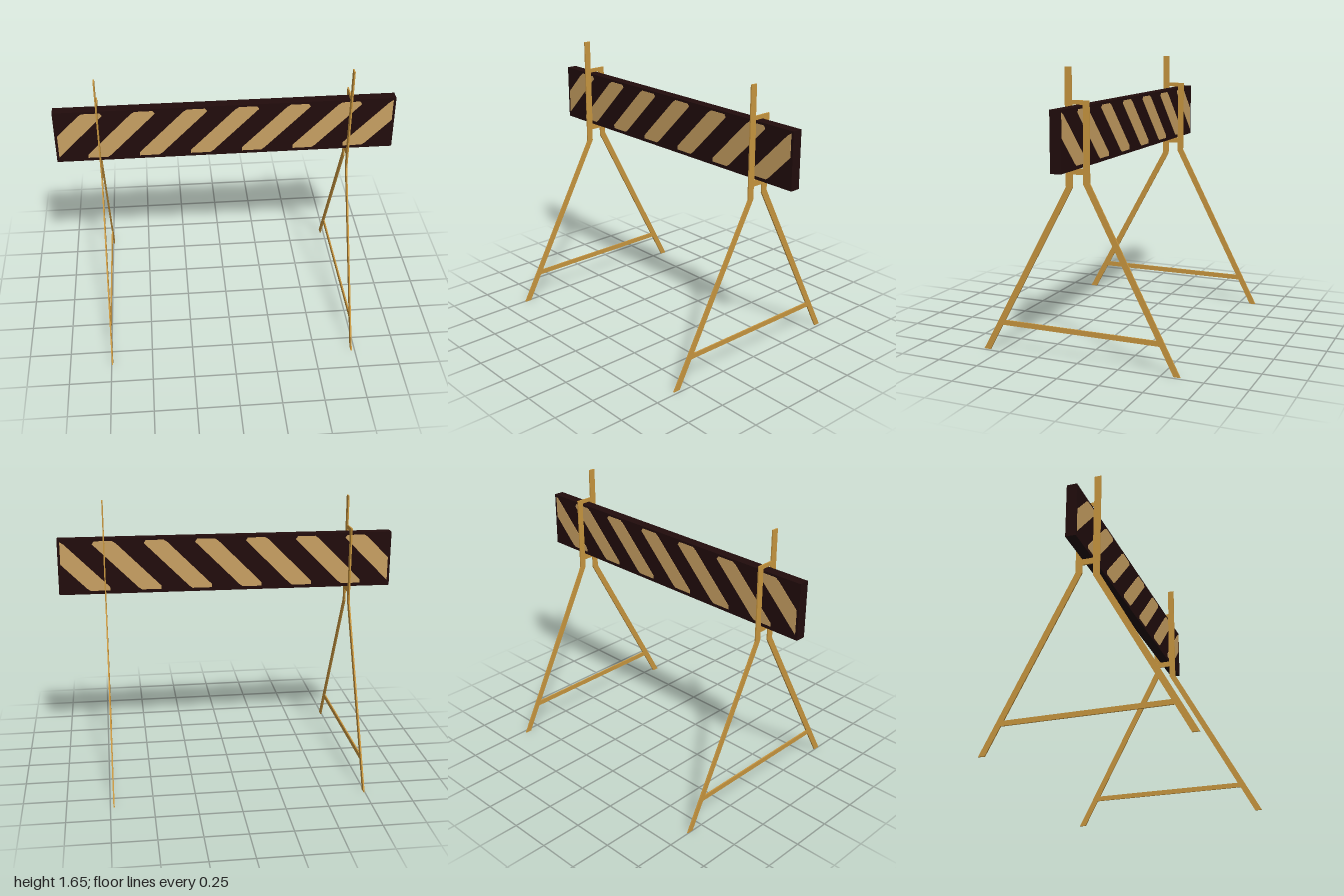
import * as THREE from 'three';

const wood = new THREE.MeshStandardMaterial({ color: 0xc8963f });
wood.name = 'ochre frame';
const dark = new THREE.MeshStandardMaterial({ color: 0x210c0c });
dark.name = 'dark board';
const tan = new THREE.MeshStandardMaterial({ color: 0xc8a062 });
tan.name = 'tan stripe';

const points = (list) => list.map(([a, b]) => new THREE.Vector2(a, b));

// Flat A-frame trestle, drawn in (z, y) and extruded thinly along x
function frameGeometry(thickness) {
  const shape = new THREE.Shape(points([
    [0.613, 0], [0.066, 1.0], [0.066, 1.655], [0.026, 1.655], [0.026, 1.477], [-0.079, 1.477],
    [-0.079, 1.028], [-0.61, 0], [-0.571, 0], [-0.488, 0.16], [0.484, 0.16], [0.571, 0],
  ]));
  // Opening between the legs, then the slot holding the board
  shape.holes.push(new THREE.Path(points([
    [0.467, 0.19], [0.026, 0.998], [0.026, 1.072], [-0.04, 1.072], [-0.04, 1.02], [-0.472, 0.19],
  ])));
  shape.holes.push(new THREE.Path(points([
    [0.024, 1.108], [0.024, 1.453], [-0.04, 1.453], [-0.04, 1.108],
  ])));
  const geometry = new THREE.ExtrudeGeometry(shape, { depth: thickness, bevelEnabled: false });
  geometry.translate(0, 0, -thickness / 2);
  return geometry.rotateY(-Math.PI / 2);
}

// Cut a convex outline off where sign * x exceeds the limit
function clip(outline, sign, limit) {
  const result = [];
  outline.forEach(([ax, ay], i) => {
    const [bx, by] = outline[(i + 1) % outline.length];
    const da = limit - sign * ax;
    const db = limit - sign * bx;
    if (da >= 0) result.push([ax, ay]);
    if (da * db < 0) {
      const t = da / (da - db);
      result.push([ax + (bx - ax) * t, ay + (by - ay) * t]);
    }
  });
  return result;
}

// Slanted stripe with slightly clipped corners, y measured from the board centre
function stripeGeometry(x, depth) {
  const outline = [
    [0, -0.146], [0.115, -0.146], [0.135, -0.132], [0.402, 0.136],
    [0.39, 0.153], [0.285, 0.153], [0.262, 0.138], [0, -0.125],
  ].map(([a, b]) => [a + x, b]);
  const shape = new THREE.Shape(points(clip(clip(outline, 1, 0.985), -1, 0.985)));
  const geometry = new THREE.ExtrudeGeometry(shape, { depth, bevelEnabled: false });
  return geometry.translate(0, 0, -depth / 2);
}

export function createModel() {
  const model = new THREE.Group();
  model.name = 'roadBarrier';

  // Two trestles
  const frame = frameGeometry(0.008);
  for (const [name, x] of [['rightFrame', -0.745], ['leftFrame', 0.729]]) {
    const mesh = new THREE.Mesh(frame, wood);
    mesh.name = name;
    mesh.position.x = x;
    model.add(mesh);
  }

  // Board resting in the slots, very slightly tilted
  const thickness = 0.061;
  const barrier = new THREE.Group();
  barrier.name = 'barrierBoard';
  barrier.position.set(0, 1.279, -0.01);
  barrier.rotation.z = 0.003;
  const plank = new THREE.Mesh(new THREE.BoxGeometry(2, 0.333, thickness), dark);
  plank.name = 'plank';
  barrier.add(plank);

  // Warning stripes on both faces
  for (let i = -1; i <= 5; i++) {
    const geometry = stripeGeometry(-0.815 + i * 0.303, 0.004);
    for (const side of [1, -1]) {
      const stripe = new THREE.Mesh(geometry, tan);
      stripe.name = side > 0 ? 'frontStripe' : 'backStripe';
      stripe.position.z = side * thickness / 2;
      barrier.add(stripe);
    }
  }
  model.add(barrier);
  return model;
}
